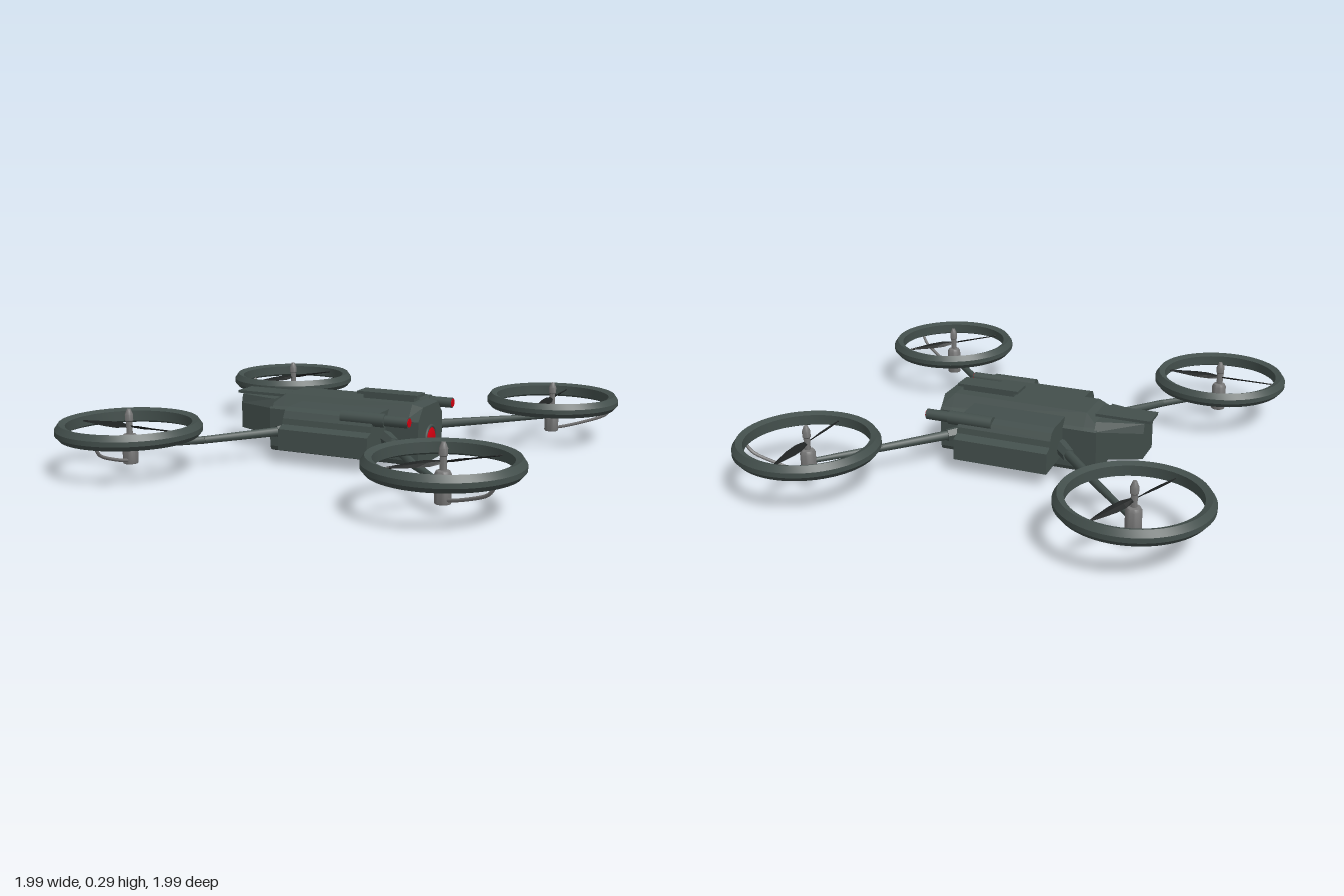
import * as THREE from 'three';
import { toCreasedNormals } from 'three/addons/utils/BufferGeometryUtils.js';

const hull = new THREE.MeshStandardMaterial({ color: 0x434f4c });
const hullFlat = new THREE.MeshStandardMaterial({ color: 0x434f4c, flatShading: true });
const metal = new THREE.MeshStandardMaterial({ color: 0x777777 });
const blade = new THREE.MeshStandardMaterial({ color: 0x1e2121, flatShading: true, side: THREE.DoubleSide });
const red = new THREE.MeshStandardMaterial({ color: 0xd00010 });
const V = (x, y, z) => new THREE.Vector3(x, y, z);

function add(parent, name, geometry, material, x = 0, y = 0, z = 0) {
  const mesh = new THREE.Mesh(geometry, material);
  mesh.name = name;
  mesh.position.set(x, y, z);
  parent.add(mesh);
  return mesh;
}

// Skin cross-sections [x, [[z, y], ...]] that run along x, with flat end caps.
function loft(sections) {
  const n = sections[0][1].length, pos = [], idx = [];
  for (const [x, pts] of sections) for (const [z, y] of pts) pos.push(x, y, z);
  for (let i = 0; i < sections.length - 1; i++) {
    for (let j = 0; j < n; j++) {
      const a = i * n + j, b = i * n + (j + 1) % n;
      idx.push(a, b, a + n, b, b + n, a + n);
    }
  }
  const last = (sections.length - 1) * n;
  for (let j = 1; j < n - 1; j++) idx.push(0, j + 1, j, last, last + j, last + j + 1);
  const g = new THREE.BufferGeometry();
  g.setAttribute('position', new THREE.Float32BufferAttribute(pos, 3));
  g.setIndex(idx);
  const flat = g.toNonIndexed();
  flat.computeVertexNormals();
  return flat;
}

// Half profile, top to bottom on +z, mirrored to a closed outline.
const mirrored = half => [...half, ...half.map(([z, y]) => [-z, y]).reverse()];

// Straight tapered bar between two points.
function bar(parent, name, a, b, ra, rb, sides, material) {
  const m = add(parent, name, new THREE.CylinderGeometry(rb, ra, a.distanceTo(b), sides), material);
  m.position.copy(a).lerp(b, 0.5);
  m.quaternion.setFromUnitVectors(V(0, 1, 0), b.clone().sub(a).normalize());
  return m;
}

function createBody() {
  const body = new THREE.Group();
  body.name = 'body';
  body.position.z = -0.03;

  // Main hull: rounded belly, chamfered roof, sloped rear roof edge
  const section = (roofY, roofZ) => mirrored([
    [roofZ, roofY], [0.122, 0.207], [0.135, 0.195], [0.135, 0.025], [0.128, 0.008], [0.11, 0]]);
  add(body, 'hull', loft([
    [-0.37, section(0.212, 0.118)], [-0.31, section(0.26, 0.085)],
    [0.3, section(0.26, 0.085)], [0.35, section(0.25, 0.085)]]), hullFlat);

  // Tail block and its cover plate
  const tail = (w, lo, hi) => mirrored([[w * 0.85, hi], [w, hi - 0.04], [w, lo]]);
  add(body, 'tail', loft([
    [-0.555, tail(0.07, 0.08, 0.235)], [-0.36, tail(0.132, 0.07, 0.235)]]), hullFlat);
  add(body, 'tailPlate', new THREE.BoxGeometry(0.24, 0.012, 0.116), hull, -0.46, 0.243, 0);

  // Roof hatch
  add(body, 'hatchBase', new THREE.BoxGeometry(0.24, 0.03, 0.065), hull, 0.165, 0.27, 0);
  add(body, 'hatchLid', new THREE.BoxGeometry(0.285, 0.012, 0.09), hull, 0.163, 0.285, 0);

  // Nose eye in a rim
  const rim = add(body, 'eyeRim', new THREE.TorusGeometry(0.056, 0.008, 8, 32), hull, 0.35, 0.1, 0);
  rim.rotation.y = Math.PI / 2;
  const eye = add(body, 'eye', new THREE.SphereGeometry(0.055, 32, 20), red, 0.348, 0.1, 0);
  eye.scale.x = 0.25;

  // Side pods and guns
  const pod = [[0.1, 0.235], [0.23, 0.232], [0.262, 0.22], [0.28, 0.19], [0.285, 0.165],
    [0.322, 0.15], [0.325, 0.06], [0.1, 0.075]];
  for (const s of [1, -1]) {
    const side = new THREE.Group();
    side.name = s > 0 ? 'frontPod' : 'backPod';
    side.scale.z = s;
    body.add(side);
    add(side, 'podShell', loft([[-0.22, pod], [0.2, pod]]), hullFlat);
    const gun = (name, r, x0, x1, mat) =>
      bar(side, name, V(x0, 0.215, 0.247), V(x1, 0.215, 0.247), r, r, 20, mat);
    gun('gunHousing', 0.029, 0.05, 0.25, hull);
    gun('gunBarrel', 0.023, 0.25, 0.355, hull);
    gun('gunLens', 0.019, 0.35, 0.358, red);
  }
  return body;
}

// Ring guard, motor, support strut and two-blade propeller
function createRotor(x, z, bladeAngle, strutAngle) {
  const rotor = new THREE.Group();
  rotor.name = 'rotor';
  rotor.position.set(x, 0, z);

  const profile = [[0.258, 0.167], [0.285, 0.155], [0.302, 0.175], [0.302, 0.195], [0.285, 0.22],
    [0.258, 0.21], [0.258, 0.167]].map(p => new THREE.Vector2(...p));
  add(rotor, 'ringGuard', toCreasedNormals(new THREE.LatheGeometry(profile, 64), 0.4), hull);

  const motor = [[0, 0.04], [0.03, 0.04], [0.032, 0.045], [0.032, 0.15], [0.026, 0.162], [0.013, 0.165],
    [0.013, 0.215], [0.017, 0.22], [0.017, 0.245], [0.008, 0.268], [0, 0.27]].map(p => new THREE.Vector2(...p));
  add(rotor, 'motor', toCreasedNormals(new THREE.LatheGeometry(motor, 24), 0.6), metal);

  // Strut rises from under the motor to the ring
  const path = new THREE.CatmullRomCurve3([
    V(0.02, 0.055, 0), V(0.1, 0.075, 0), V(0.235, 0.122, 0), V(0.258, 0.14, 0), V(0.278, 0.17, 0)]);
  const strut = add(rotor, 'strut', new THREE.TubeGeometry(path, 20, 0.007, 8), metal);
  strut.rotation.y = -strutAngle;

  // Blades twist along their length
  const prop = new THREE.Group();
  prop.name = 'propeller';
  prop.position.y = 0.195;
  prop.rotation.y = -bladeAngle;
  rotor.add(prop);
  const stations = [[0.005, 0.008, 0.7], [0.06, 0.018, 0.55], [0.12, 0.019, 0.4], [0.2, 0.011, 0.25], [0.245, 0.003, 0.15]];
  const sections = stations.map(([r, w, t]) => {
    const c = Math.cos(t), s = Math.sin(t);
    return [r, [[0, 0.003], [w * c, w * s], [0, -0.003], [-w * c, -w * s]]];
  });
  for (const turn of [0, Math.PI]) add(prop, 'blade', loft(sections), blade).rotation.y = turn;
  return rotor;
}

export function createModel() {
  const model = new THREE.Group();
  model.name = 'quadcopter';
  model.add(createBody());

  // Corner: sign of x, sign of z, blade angle, strut angle
  const corners = [[-1, -1, -1.17, 3.35], [1, -1, 1.57, -0.17], [-1, 1, 0.03, 1.42], [1, 1, -0.87, 0.5]];
  for (const [sx, sz, bladeAngle, strutAngle] of corners) {
    const cx = sx * 0.695, cz = sz * 0.695;
    model.add(createRotor(cx, cz, bladeAngle, strutAngle));

    // Arm with a thick socket at the body
    const at = (px, y, pz) => V(sx * px, y, sz * pz);
    const root = sz > 0 ? 0.1 : 0.15;
    bar(model, 'armSocket', at(0.17, 0.12, root - 0.02), at(0.28, 0.115, root + 0.1), 0.036, 0.028, 6, hullFlat);
    bar(model, 'arm', at(0.24, 0.117, root + 0.055), at(0.48, 0.113, 0.47), 0.022, 0.017, 8, hull);
    bar(model, 'armTip', at(0.48, 0.113, 0.47), at(0.69, 0.11, 0.69), 0.017, 0.011, 8, hull);
  }
  return model;
}
